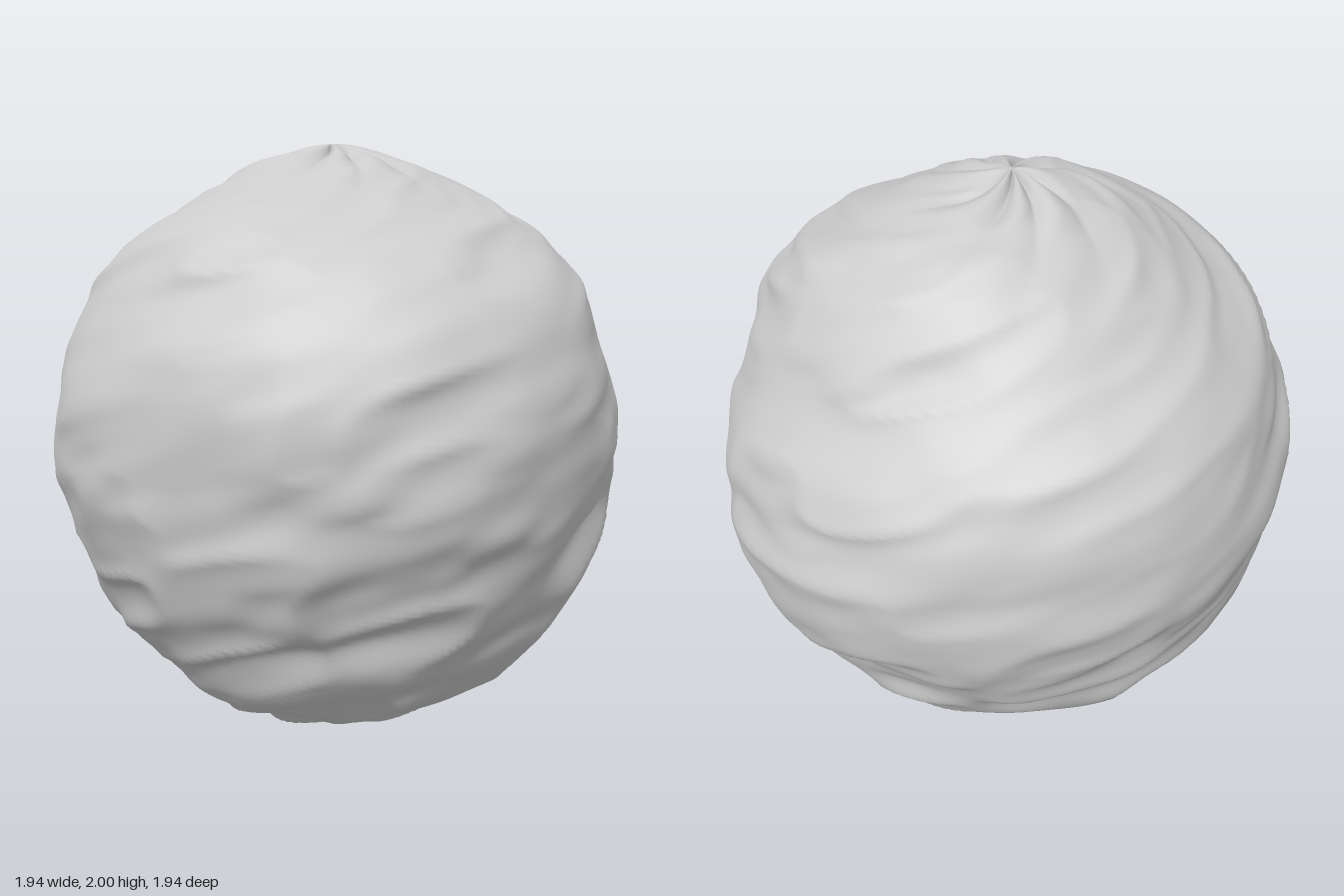
import * as THREE from 'three';
import { mergeVertices } from 'three/addons/utils/BufferGeometryUtils.js';

const SLOPE = 0.28; // creases climb this much per radian around the ball

// Repeatable hash for a lattice point
function hash(x, y, z) {
  let h = (x * 374761393 + y * 668265263 + z * 974634777 + 1013) | 0;
  h = Math.imul(h ^ (h >>> 13), 1274126177);
  h = Math.imul(h ^ (h >>> 15), 2246822519);
  return ((h ^ (h >>> 16)) >>> 0) / 2147483648 - 1;
}

// Smooth value noise in -1..1
function noise(x, y, z) {
  const i = Math.floor(x), j = Math.floor(y), k = Math.floor(z);
  const ease = t => t * t * t * (t * (t * 6 - 15) + 10);
  const u = ease(x - i), v = ease(y - j), w = ease(z - k);
  const mix = THREE.MathUtils.lerp;
  const row = (b, c) => mix(hash(i, j + b, k + c), hash(i + 1, j + b, k + c), u);
  return mix(mix(row(0, 0), row(1, 0), v), mix(row(0, 1), row(1, 1), v), w);
}

// Radii from the bottom pole to the top pole, every 15 degrees: front, left, back, right side
const meridians = [
  [1, 0.985, 0.96, 0.96, 0.955, 0.94, 0.965, 0.98, 1.005, 0.975, 0.945, 0.965, 1],
  [1, 0.98, 0.97, 0.955, 0.945, 0.96, 0.965, 0.95, 0.91, 0.945, 0.99, 0.985, 1],
  [1, 0.995, 0.97, 0.94, 0.955, 0.94, 0.965, 0.975, 0.985, 0.94, 0.95, 0.975, 1],
  [1, 0.967, 0.975, 0.95, 0.95, 0.94, 0.965, 0.98, 0.98, 0.98, 0.945, 0.97, 1],
].map(radii => new THREE.SplineCurve(radii.map((r, i) => new THREE.Vector2(i, r))));

// Single folds: angle around y (0 = front, + toward +x), latitude, length, depth
const folds = [
  [0.3, -0.26, 0.3, 0.022], [-0.7, -0.56, 0.25, 0.025], [0.7, 0.4, 0.22, 0.018],
  [0.7, 0.75, 0.2, 0.022], [1.4, 0.05, 0.25, 0.022], [1.2, -0.66, 0.3, 0.022],
  [1.9, -0.42, 0.3, 0.02], [2.6, 0.1, 0.3, 0.018], [-2.4, -0.1, 0.35, 0.018],
  [2.9, -0.45, 0.35, 0.018], [-2.7, 0.45, 0.3, 0.018],
];

const wrapAngle = a => Math.atan2(Math.sin(a), Math.cos(a));

// Overall lumpy shape, blended between neighbouring meridians along the slope
function baseRadius(theta, lat, rho) {
  const hollow = 0.012 * rho * Math.sin(2 * theta) ** 2; // slightly flatter in between
  return meridians.reduce((sum, curve, i) => {
    const dt = wrapAngle(theta - i * Math.PI / 2);
    if (Math.abs(dt) >= Math.PI / 2) return sum;
    const t = 0.5 + (lat - SLOPE * dt * rho) / Math.PI;
    return sum + Math.cos(dt) ** 2 * curve.getPoint(THREE.MathUtils.clamp(t, 0, 1)).y;
  }, -hollow);
}

// Slanting creases: noise stretched along the slope
function creases(p, theta, lat) {
  const c = (lat - SLOPE * theta) * 5.6;
  const mid = noise(p.x * 2.5 + 11, c, p.z * 2.5 + 4);
  const fine = noise(p.x * 5 + 3, c * 1.9 + 9, p.z * 5 + 2);
  return 0.032 * (0.32 - Math.abs(mid)) + 0.01 * mid + 0.01 * fine;
}

// Creases and folds on top of the overall shape
function wrinkle(p, theta, lat, rho) {
  // Cross-fade where the angle wraps at the back
  const fade = THREE.MathUtils.smoothstep(theta, Math.PI - 0.9, Math.PI);
  let d = creases(p, theta, lat) * (1 - fade);
  if (fade > 0) d += creases(p, theta - 2 * Math.PI, lat) * fade;
  d *= rho / (rho + 0.1);

  for (const [t, y, len, depth] of folds) {
    const dt = wrapAngle(theta - t) * rho;
    const off = lat - y - SLOPE * dt;
    d -= depth * Math.exp(-((dt / len) ** 2) - (off / 0.07) ** 2);
  }

  // Uneven pleats gathered at both poles
  const gather = Math.exp(-((rho / 0.34) ** 2)) * rho / (rho + 0.05);
  const swirl = theta + Math.sign(p.y) * 1.2 * rho + 0.3 * Math.sin(2 * theta + 1);
  return d - gather * 0.045 * (1 - Math.abs(Math.sin(4 * swirl)));
}

function crumpledBall() {
  let g = new THREE.SphereGeometry(1, 240, 180);
  g.deleteAttribute('uv');
  g.deleteAttribute('normal');
  g = mergeVertices(g, 1e-5);
  const pos = g.attributes.position, p = new THREE.Vector3();
  for (let i = 0; i < pos.count; i++) {
    p.fromBufferAttribute(pos, i).normalize();
    const rho = Math.hypot(p.x, p.z);
    const theta = Math.atan2(p.x, p.z), lat = Math.atan2(p.y, rho);
    const d = wrinkle(p, theta, lat, rho);
    const droop = 0.5 * d * rho; // bulges sag over the crease below
    const lean = 0.04 * Math.max(0, p.y) ** 8; // top knot sits slightly to the back
    p.multiplyScalar(baseRadius(theta, lat, rho) + d);
    pos.setXYZ(i, p.x, 1 + p.y - droop, p.z - lean);
  }
  g.computeVertexNormals();
  return g;
}

export function createModel() {
  const group = new THREE.Group();
  const ball = new THREE.Mesh(crumpledBall(), new THREE.MeshStandardMaterial({ color: 0xcccccc }));
  ball.name = 'crumpledBall';
  group.add(ball);
  return group;
}
